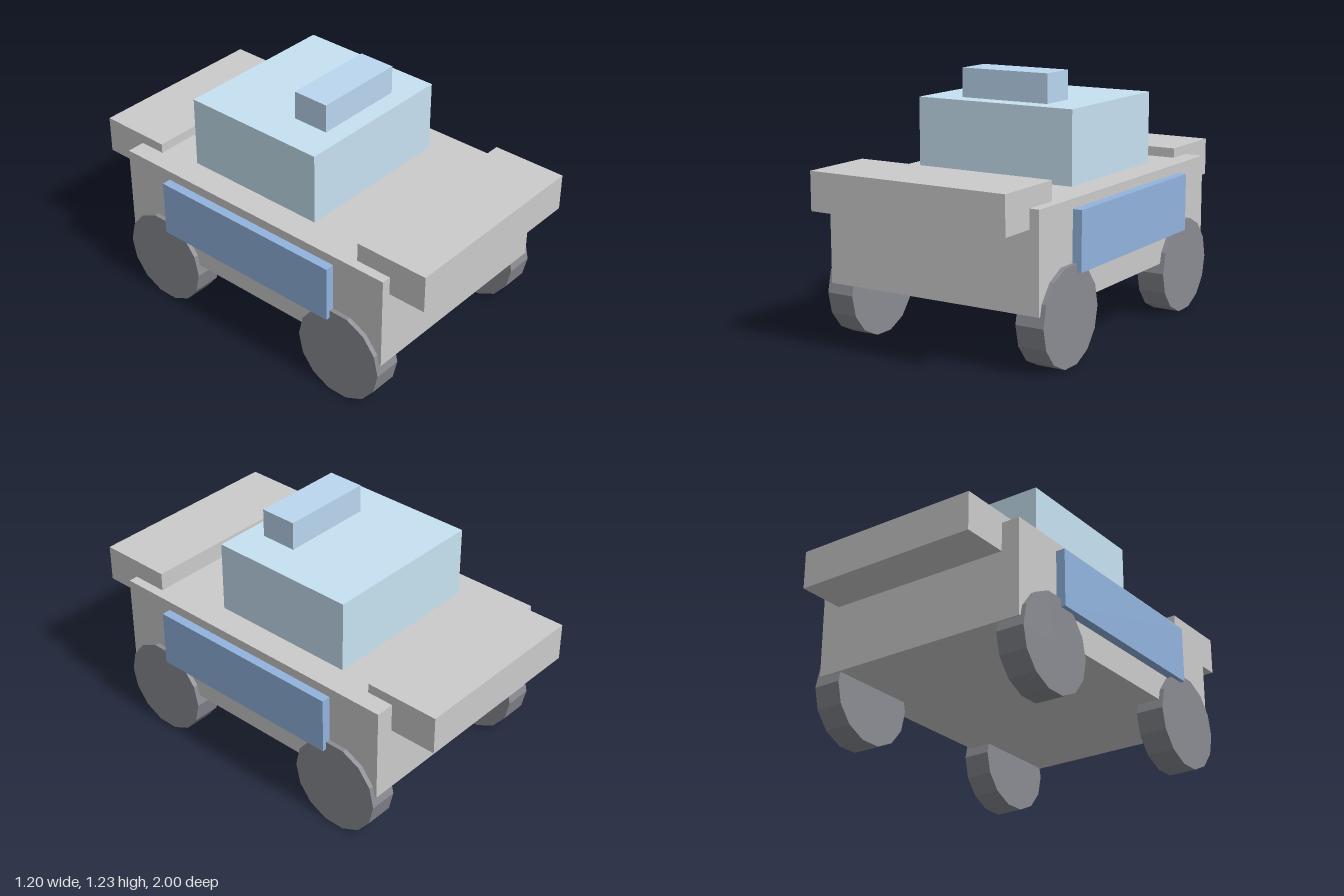
import * as THREE from 'three';

const material = (color) => new THREE.MeshStandardMaterial({ color, flatShading: true });

// Box given by its low and high limits on each axis
function box(name, mat, [x0, x1], [y0, y1], [z0, z1]) {
  const mesh = new THREE.Mesh(new THREE.BoxGeometry(x1 - x0, y1 - y0, z1 - z0), mat);
  mesh.position.set((x0 + x1) / 2, (y0 + y1) / 2, (z0 + z1) / 2);
  mesh.name = name;
  return mesh;
}

export function createModel() {
  const model = new THREE.Group();
  model.name = 'vehicle';
  const grey = material(0xcccccc);
  const cabinBlue = material(0xc7e2f2);
  const hatchBlue = material(0xbbd7f0);
  const panelBlue = material(0x92b4df);
  const tyre = material(0x8a8c92);

  // Hull with overhanging front and rear blocks
  model.add(
    box('body', grey, [-0.557, 0.557], [0.275, 0.74], [-0.765, 0.812]),
    box('frontBumper', grey, [-0.51, 0.51], [0.65, 0.832], [0.63, 1]),
    box('rearBumper', grey, [-0.465, 0.465], [0.602, 0.787], [-1, -0.63])
  );

  // Cabin and roof block
  model.add(
    box('cabin', cabinBlue, [-0.418, 0.418], [0.74, 1.09], [-0.44, 0.303]),
    box('roofBlock', hatchBlue, [-0.233, 0.233], [1.09, 1.23], [0.025, 0.21])
  );

  // 14-sided wheels, lying along x with a flat facet on the ground
  const radius = 0.233;
  const wheelGeometry = new THREE.CylinderGeometry(radius, radius, 0.14, 14).rotateZ(Math.PI / 2);
  const axleY = radius * Math.cos(Math.PI / 14);

  for (const [side, s] of [['left', 1], ['right', -1]]) {
    const xs = [0.555 * s, 0.602 * s].sort((a, b) => a - b);
    model.add(box(side + 'SidePanel', panelBlue, xs, [0.415, 0.694], [-0.487, 0.533]));

    for (const [end, z] of [['Front', 0.581], ['Rear', -0.534]]) {
      const wheel = new THREE.Mesh(wheelGeometry, tyre);
      wheel.name = side + end + 'Wheel';
      wheel.position.set(0.51 * s, axleY, z);
      model.add(wheel);
    }
  }
  return model;
}
